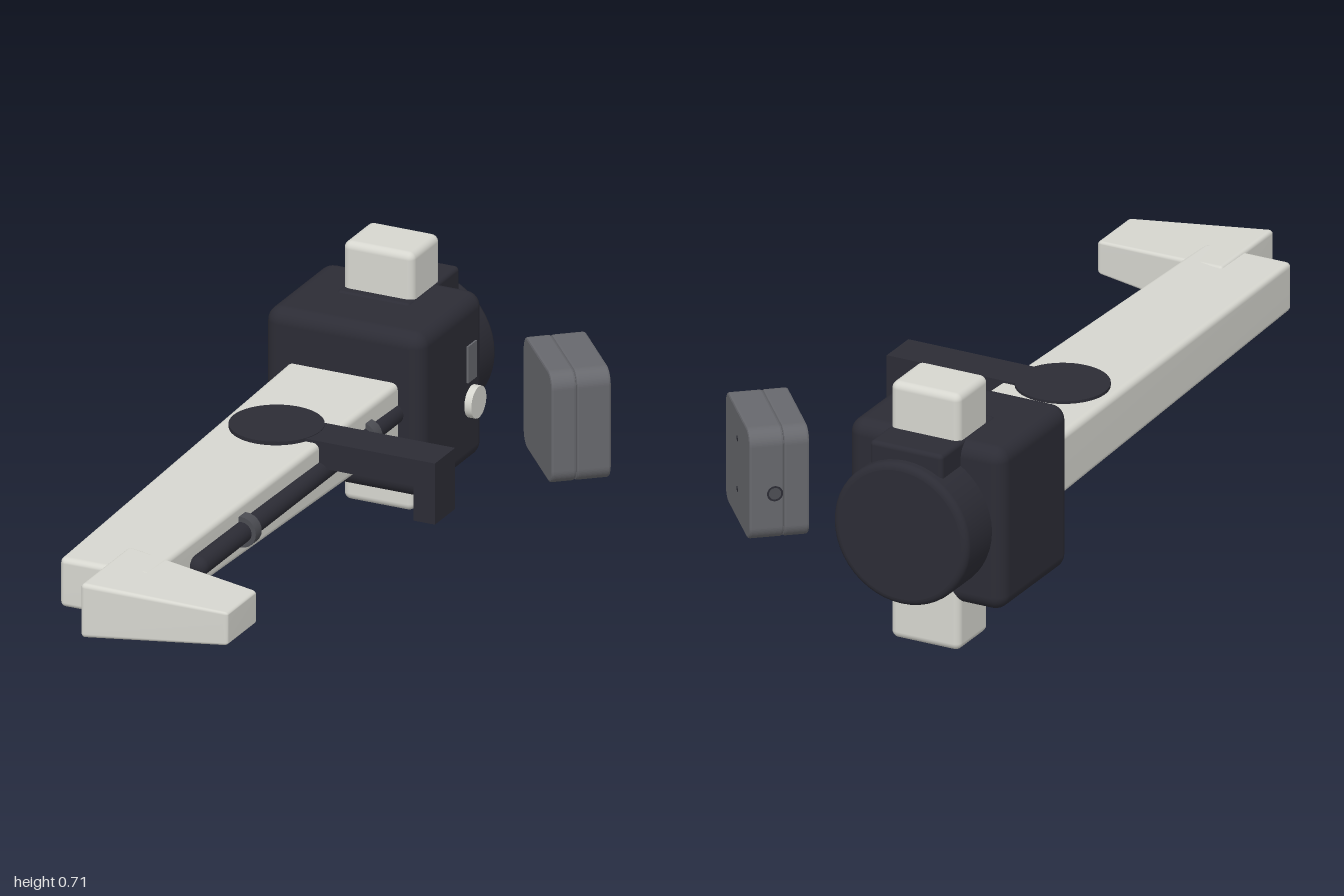
import * as THREE from 'three';
import { mergeVertices } from 'three/addons/utils/BufferGeometryUtils.js';
import { RoundedBoxGeometry } from 'three/addons/geometries/RoundedBoxGeometry.js';

const material = (name, color) => {
  const m = new THREE.MeshStandardMaterial({ color });
  m.name = name;
  return m;
};

// Rounded box along z whose cross-section shrinks from back (w0 x h0) to front (w1 x h1)
function taperedBox(w0, h0, w1, h1, length, radius) {
  const g = new RoundedBoxGeometry(w0, h0, length, 3, radius);
  const p = g.attributes.position;
  for (let i = 0; i < p.count; i++) {
    const t = p.getZ(i) / length + 0.5;
    p.setX(i, p.getX(i) * (1 + (w1 / w0 - 1) * t));
    p.setY(i, p.getY(i) * (1 + (h1 / h0 - 1) * t));
  }
  g.deleteAttribute('normal');
  g.deleteAttribute('uv');
  const merged = mergeVertices(g, 1e-5);
  merged.computeVertexNormals();
  return merged;
}

// Plate with rounded outline and a small bevel, from z0 to z1
function roundedPlate(w, h, r, z0, z1, bevel) {
  const x = w / 2 - bevel, y = h / 2 - bevel, s = new THREE.Shape();
  s.absarc(x - r, y - r, r, 0, Math.PI / 2);
  s.absarc(-x + r, y - r, r, Math.PI / 2, Math.PI);
  s.absarc(-x + r, -y + r, r, Math.PI, Math.PI * 1.5);
  s.absarc(x - r, -y + r, r, Math.PI * 1.5, Math.PI * 2);
  const g = new THREE.ExtrudeGeometry(s, {
    depth: z1 - z0 - 2 * bevel, bevelThickness: bevel, bevelSize: bevel, bevelSegments: 2, curveSegments: 8,
  });
  return g.translate(0, 0, z0 + bevel);
}

export function createModel() {
  const model = new THREE.Group();
  const light = material('light shell', 0xd6d6cf);
  const dark = material('dark housing', 0x2c2c35);
  const grey = material('grey box', 0x67686d);
  const midGrey = material('clip grey', 0x4c4d53);
  const add = (name, geometry, mat, x, y, z, parent = model) => {
    const mesh = new THREE.Mesh(geometry, mat);
    mesh.name = name;
    mesh.position.set(x, y, z);
    parent.add(mesh);
    return mesh;
  };
  const cx = -0.225, cy = 0.355;

  // Shoulder housing with the post passing through it
  add('shoulderHousing', new RoundedBoxGeometry(0.45, 0.45, 0.36, 4, 0.04), dark, cx, cy, -0.69);
  add('verticalPost', new RoundedBoxGeometry(0.2, 0.71, 0.16, 3, 0.02), light, cx, 0.355, -0.79);
  add('connectorBlock', new RoundedBoxGeometry(0.21, 0.14, 0.29, 3, 0.012), dark, cx, 0.514, -0.825);

  // Motor drum on the back, with a rounded rim
  const rim = [new THREE.Vector2(0.195, 0)];
  for (let i = 0; i <= 5; i++) {
    const a = (i / 5) * Math.PI / 2;
    rim.push(new THREE.Vector2(0.177 + 0.018 * Math.cos(a), 0.182 + 0.018 * Math.sin(a)));
  }
  const drum = add('motorDrum', new THREE.LatheGeometry(rim, 48), dark, cx, cy, -0.8);
  drum.rotation.x = -Math.PI / 2;
  const cap = add('motorDrumCap', new THREE.CircleGeometry(0.177, 48), dark, cx, cy, -1);
  cap.rotation.y = Math.PI;

  // Button and indicator plate on the housing's left side
  const button = add('sideButton', new THREE.CylinderGeometry(0.043, 0.043, 0.03, 28), light, 0.005, 0.3, -0.795);
  button.rotation.z = Math.PI / 2;
  add('sidePlate', new THREE.BoxGeometry(0.008, 0.1, 0.05), grey, 0.001, 0.41, -0.79);

  // Tapered arm and sideways hand
  add('arm', taperedBox(0.316, 0.172, 0.25, 0.135, 1.41, 0.018), light, cx, 0.356, 0.15);
  const hand = add('hand', taperedBox(0.28, 0.15, 0.168, 0.09, 0.39, 0.012), light, -0.025, 0.356, 0.858);
  hand.rotation.y = Math.PI / 2;

  // Rod with clips along the arm
  const rod = add('rod', new THREE.CapsuleGeometry(0.028, 1.12, 6, 20), dark, -0.08, 0.357, 0.04);
  rod.rotation.x = Math.PI / 2;
  for (const z of [-0.35, 0.34]) {
    const clip = add('rodClip', new THREE.CylinderGeometry(0.042, 0.042, 0.034, 24), midGrey, -0.082, 0.357, z);
    clip.rotation.x = Math.PI / 2;
  }

  // Turntable disc with an L-shaped bracket
  add('bracketDisc', new THREE.CylinderGeometry(0.122, 0.122, 0.02, 48), dark, cx, 0.435, -0.135);
  add('bracketBar', new THREE.BoxGeometry(0.475, 0.073, 0.115), dark, 0.0125, 0.4065, -0.138);
  add('bracketDrop', new THREE.BoxGeometry(0.06, 0.168, 0.115), dark, 0.22, 0.359, -0.138);

  // Separate two-part box, turned about the vertical
  const box = new THREE.Group();
  box.name = 'controlBox';
  box.position.set(0.29, 0.3525, -0.755);
  box.rotation.y = -0.865;
  model.add(box);
  add('boxFront', roundedPlate(0.298, 0.305, 0.035, 0.012, 0.078, 0.006), grey, 0, 0, 0, box);
  add('boxBack', roundedPlate(0.298, 0.305, 0.035, -0.078, 0.012, 0.006), grey, 0, 0, 0, box);
  for (const y of [0.075, -0.065]) {
    const screw = add('boxScrewHole', new THREE.CircleGeometry(0.008, 16), dark, 0, y, -0.0785, box);
    screw.rotation.y = Math.PI;
  }
  const port = add('boxPort', new THREE.CircleGeometry(0.018, 20), midGrey, -0.1495, -0.02, -0.012, box);
  port.rotation.y = -Math.PI / 2;
  const portRim = add('boxPortRim', new THREE.RingGeometry(0.016, 0.021, 20), dark, -0.1498, -0.02, -0.012, box);
  portRim.rotation.y = -Math.PI / 2;

  return model;
}
